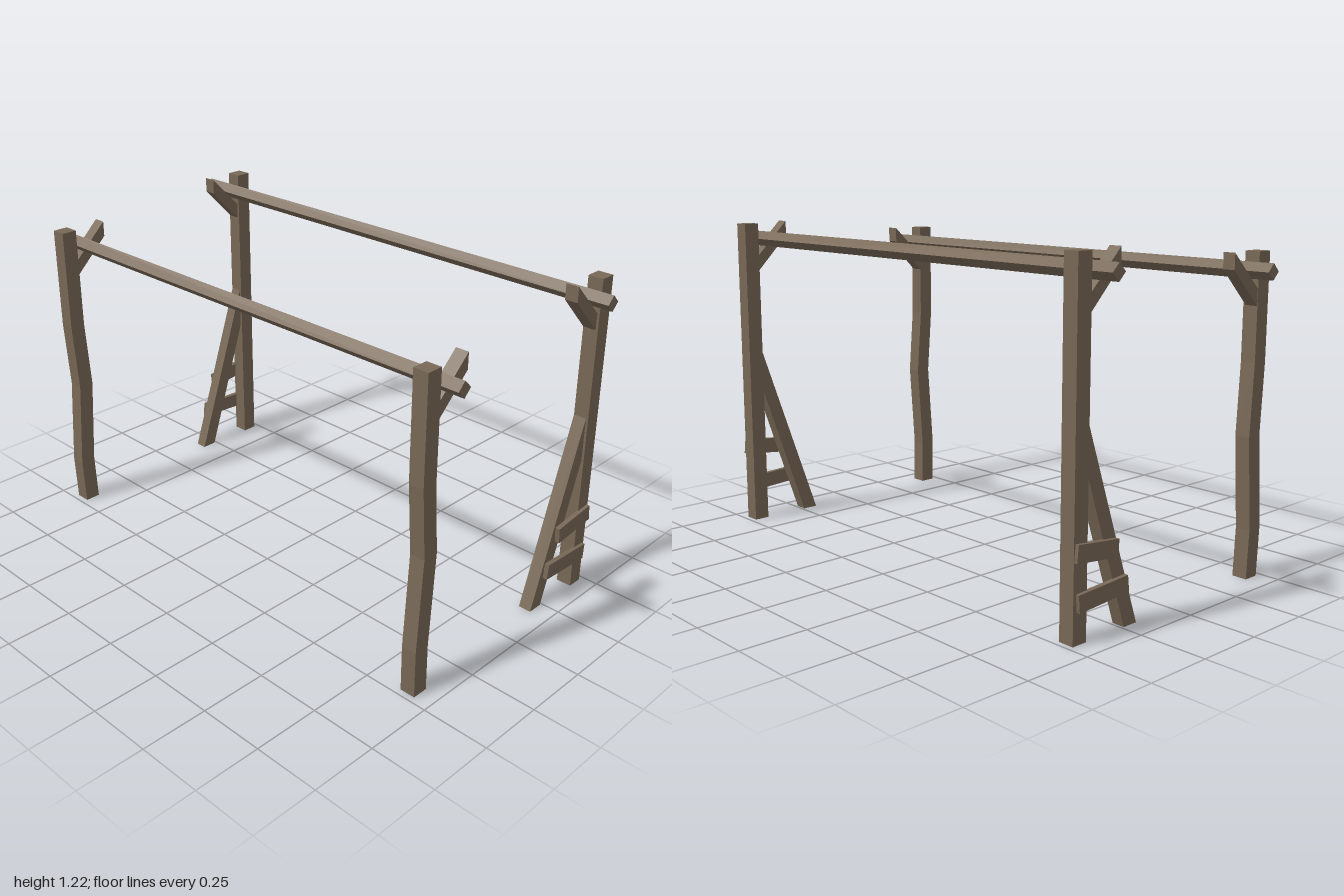
import * as THREE from 'three';

const wood = new THREE.MeshStandardMaterial({ color: 0x786856 });
wood.name = 'weatheredWood';

export function createModel() {
  const model = new THREE.Group();
  model.name = 'timberFrame';

  const add = (parent, name, geometry) => {
    const mesh = new THREE.Mesh(geometry, wood);
    mesh.name = name;
    parent.add(mesh);
    return mesh;
  };

  // Flat timber: an outline in x/y, cut from z0 to z1
  const timber = (parent, name, outline, z0, z1) => {
    const shape = new THREE.Shape(outline.map(([x, y]) => new THREE.Vector2(x, y)));
    const geometry = new THREE.ExtrudeGeometry(shape, { depth: z1 - z0, bevelEnabled: false });
    geometry.translate(0, 0, z0);
    return add(parent, name, geometry);
  };

  // Crooked post: a box whose rings follow [y, x, z] centres
  const crookedPost = (parent, z, rings) => {
    const box = new THREE.BoxGeometry(0.06, 1, 0.058, 1, rings.length - 1, 1);
    const p = box.attributes.position;
    for (let i = 0; i < p.count; i++) {
      const [y, cx, cz] = rings[Math.round((p.getY(i) + 0.5) * (rings.length - 1))];
      p.setXYZ(i, p.getX(i) + cx, y, p.getZ(i) + z + cz);
    }
    const geometry = box.toNonIndexed();
    geometry.computeVertexNormals();
    add(parent, 'crookedPost', geometry);
  };

  // Two end frames; side is the outward z direction
  for (const [name, side, z] of [['frontFrame', 1, 0.907], ['backFrame', -1, -0.892]]) {
    const frame = new THREE.Group();
    frame.name = name;
    model.add(frame);
    const slim = [z - 0.029 + (side < 0 ? 0.002 : 0), z + 0.02];

    // Straight tall post with its leaning brace
    timber(frame, 'tallPost', [[0.42, 0], [0.48, 0], [0.48, 1.215], [0.42, 1.215]], z - 0.029, z + 0.029);
    timber(frame, 'leaningBrace', [[0.18, 0], [0.24, 0], [0.42, 0.53], [0.42, 0.695]], ...slim);

    // Two rungs nailed to the outer face
    const inner = z + side * 0.024;
    const outer = z + side * 0.042;
    const rungZ = [Math.min(inner, outer), Math.max(inner, outer)];
    timber(frame, 'upperRung', [[0.292, 0.25], [0.479, 0.271], [0.473, 0.33], [0.287, 0.31]], ...rungZ);
    timber(frame, 'lowerRung', [[0.235, 0.122], [0.464, 0.108], [0.469, 0.168], [0.242, 0.18]], ...rungZ);

    // Crooked shorter post
    const kink = side > 0 ? -0.425 : -0.43;
    crookedPost(frame, z, [
      [0, -0.446, 0],
      [0.18, -0.451, side * 0.003],
      [0.52, kink, 0],
      [0.78, -0.446, 0.001],
      [1.165, -0.446, 0],
    ]);

    // Slanted brackets that cradle the rails
    timber(frame, 'shortPostBracket', [[-0.42, 0.975], [-0.28, 1.11], [-0.28, 1.168], [-0.42, 1.035]], ...slim);
    timber(frame, 'tallPostBracket', [[0.42, 1.03], [0.42, 1.09], [0.29, 1.22], [0.29, 1.163]], ...slim);
  }

  // Long rails resting on edge
  for (const [name, x, y] of [['lowRail', -0.386, 1.103], ['highRail', 0.39, 1.154]]) {
    const rail = add(model, name, new THREE.BoxGeometry(0.041, 0.041, 2));
    rail.position.set(x, y, 0);
    rail.rotation.z = Math.PI / 4;
  }

  return model;
}
